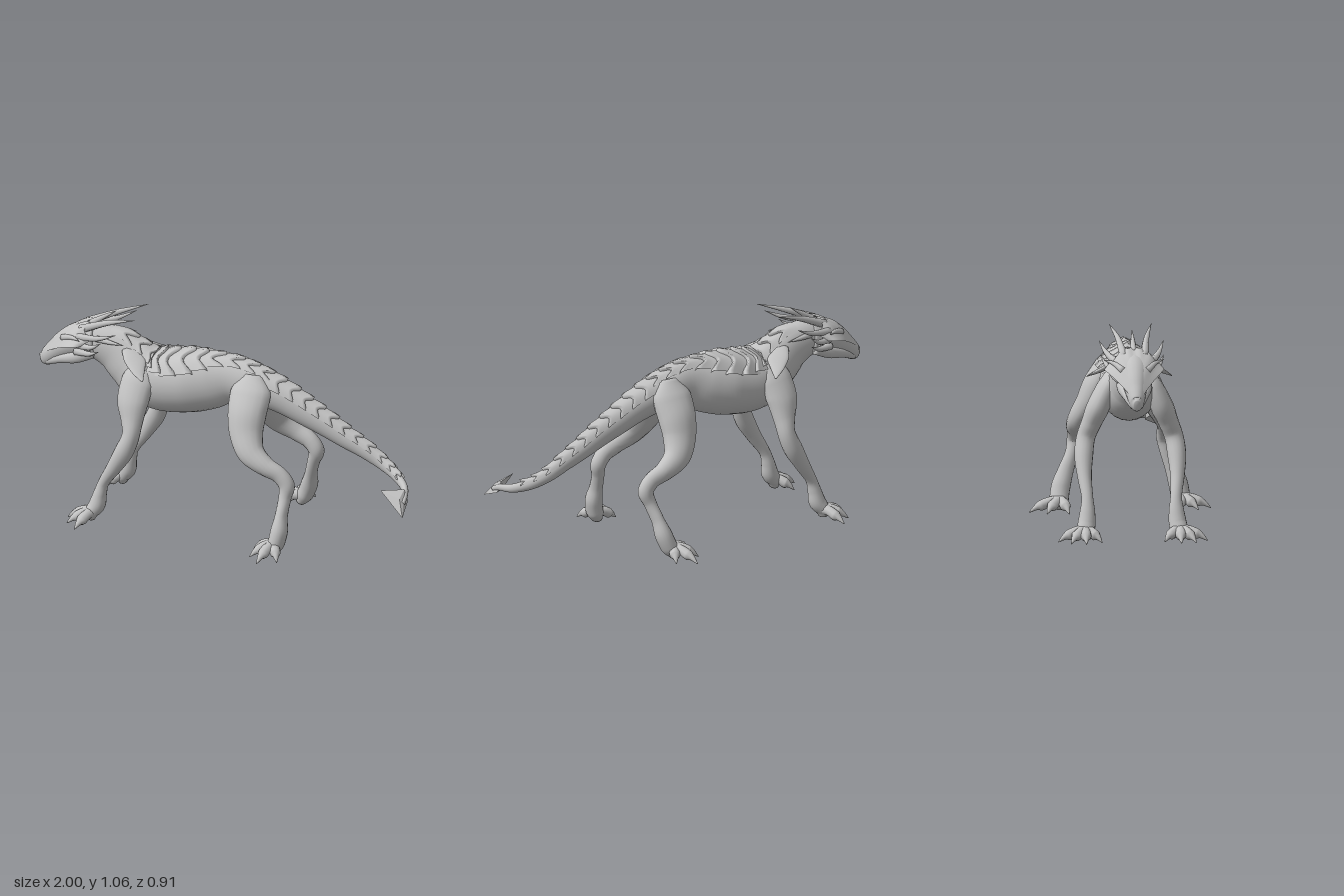
import * as THREE from 'three';
import { ConvexGeometry } from 'three/addons/geometries/ConvexGeometry.js';

const hide = new THREE.MeshStandardMaterial({ color: 0xc2c2c2, side: THREE.DoubleSide });
hide.name = 'pale grey hide';
const V = (x, y, z) => new THREE.Vector3(x, y, z);
const UP = V(0, 1, 0), ALONG = V(1, 0, 0);

// Smooth surface through sections [x, y, z, half height, half width]
function skin(sections, ref) {
  const path = new THREE.CatmullRomCurve3(sections.map(s => V(s[0], s[1], s[2])));
  const size = new THREE.CatmullRomCurve3(sections.map(s => V(s[3], s[4], 0)));
  return (t, angle, lift = 0, scale = 1) => {
    t = Math.min(1, Math.max(0, t));
    const c = path.getPoint(t), r = size.getPoint(t), T = path.getTangent(t);
    const U = ref.clone().addScaledVector(T, -ref.dot(T)).normalize();
    const S = T.clone().cross(U);
    return c.addScaledVector(U, Math.sin(angle) * (Math.max(r.x, 0.001) * scale + lift))
      .addScaledVector(S, Math.cos(angle) * (Math.max(r.y, 0.001) * scale + lift));
  };
}

// Grid of rows x cols points, optionally wrapped around
function grid(rows, cols, fn, wrap = false) {
  const pos = [], idx = [], n = wrap ? cols : cols - 1;
  for (let i = 0; i < rows; i++)
    for (let j = 0; j < cols; j++) pos.push(...fn(i, j).toArray());
  for (let i = 0; i < rows - 1; i++)
    for (let j = 0; j < n; j++) {
      const k = (j + 1) % cols;
      const a = i * cols + j, b = (i + 1) * cols + j, c = i * cols + k, d = (i + 1) * cols + k;
      idx.push(a, b, c, c, b, d);
    }
  const g = new THREE.BufferGeometry();
  g.setAttribute('position', new THREE.Float32BufferAttribute(pos, 3));
  g.setIndex(idx);
  g.computeVertexNormals();
  return g;
}

// Closed loft with capped ends
function loft(sections, ref = UP, steps = 6, sides = 16) {
  const f = skin(sections, ref), n = (sections.length - 1) * steps;
  return grid(n + 3, sides, (i, j) =>
    f((i - 1) / n, j / sides * Math.PI * 2, 0, i === 0 || i === n + 2 ? 0 : 1), true);
}

const BODY = [
  [-0.76, 0.875, 0, 0.085, 0.07], [-0.68, 0.87, 0, 0.1, 0.075], [-0.6, 0.842, 0, 0.118, 0.082],
  [-0.52, 0.785, 0, 0.135, 0.105], [-0.44, 0.73, 0, 0.15, 0.135], [-0.34, 0.715, 0, 0.16, 0.142],
  [-0.22, 0.73, 0, 0.162, 0.137], [-0.1, 0.752, 0, 0.148, 0.11], [0, 0.775, 0, 0.12, 0.083],
  [0.1, 0.768, 0, 0.104, 0.083], [0.2, 0.742, 0, 0.092, 0.077], [0.3, 0.702, 0, 0.082, 0.066],
  [0.4, 0.652, 0, 0.073, 0.058], [0.5, 0.602, 0, 0.064, 0.05], [0.6, 0.547, 0, 0.054, 0.043],
  [0.7, 0.497, 0, 0.045, 0.036], [0.8, 0.44, 0.008, 0.035, 0.028], [0.88, 0.4, 0.04, 0.028, 0.022],
  [0.945, 0.372, 0.1, 0.022, 0.018], [0.975, 0.36, 0.17, 0.016, 0.013], [0.983, 0.34, 0.22, 0.012, 0.01]];

const HEAD = [
  [-0.995, 0.735, 0, 0.026, 0.016], [-0.97, 0.742, 0, 0.042, 0.035], [-0.92, 0.785, 0, 0.055, 0.05],
  [-0.86, 0.83, 0, 0.074, 0.065], [-0.79, 0.865, 0, 0.09, 0.08], [-0.7, 0.875, 0, 0.095, 0.078]];

const FRONT_LEG = [
  [-0.42, 0.82, 0.075, 0.04, 0.03], [-0.447, 0.74, 0.115, 0.085, 0.05], [-0.458, 0.65, 0.155, 0.082, 0.057],
  [-0.45, 0.56, 0.192, 0.057, 0.05], [-0.447, 0.49, 0.218, 0.044, 0.047], [-0.475, 0.41, 0.23, 0.048, 0.047],
  [-0.53, 0.31, 0.23, 0.038, 0.036], [-0.59, 0.21, 0.22, 0.028, 0.029], [-0.608, 0.15, 0.22, 0.034, 0.037],
  [-0.622, 0.09, 0.225, 0.042, 0.044], [-0.645, 0.05, 0.232, 0.036, 0.045], [-0.65, 0.015, 0.235, 0.02, 0.03]];

const HIND_LEG = [
  [0.13, 0.83, 0.04, 0.05, 0.03], [0.132, 0.75, 0.08, 0.105, 0.058], [0.13, 0.66, 0.125, 0.1, 0.07],
  [0.14, 0.57, 0.165, 0.087, 0.064], [0.18, 0.49, 0.207, 0.07, 0.055], [0.26, 0.435, 0.225, 0.05, 0.045],
  [0.335, 0.395, 0.222, 0.043, 0.037], [0.372, 0.345, 0.222, 0.041, 0.037], [0.367, 0.28, 0.235, 0.032, 0.033],
  [0.36, 0.2, 0.265, 0.031, 0.039], [0.357, 0.12, 0.292, 0.043, 0.048], [0.345, 0.06, 0.302, 0.042, 0.048],
  [0.33, 0.018, 0.305, 0.025, 0.035]];

export function createModel() {
  const model = new THREE.Group();
  model.name = 'horned beast';
  const add = (name, geometry, parent = model) => {
    const m = new THREE.Mesh(geometry, hide);
    m.name = name;
    parent.add(m);
    return m;
  };
  const horn = (name, a, b, c, r) => add(name, loft([
    [...a, r, r], [...b, r * 0.65, r * 0.65], [...c, 0.001, 0.001]], UP, 5, 8));

  add('bodyNeckAndTail', loft(BODY, UP, 5, 24));
  add('head', loft(HEAD, UP, 6, 20));

  // Overlapping plates wrapped over neck, back and tail
  const surface = skin(BODY, UP), plates = new THREE.Group();
  plates.name = 'backPlates';
  model.add(plates);
  const count = 23, rows = 6, cols = 21;
  for (let p = 0; p < count; p++) {
    const t0 = 0.07 + p * 0.0342, len = 0.043;
    const torso = Math.exp(-(((t0 - 0.25) / 0.09) ** 2)), tail = t0 > 0.47 ? 1 : 0;
    const spread = 0.7 + 0.4 * torso + 0.4 * tail;
    const size = t0 < 0.6 ? 1 : 1 - (t0 - 0.6) * 1.6;
    add('plate', grid(rows + 1, cols, (i, j) => {
      const v = j / (cols - 1) * 2 - 1, u = Math.min(1, i / (rows - 1));
      const edge = 1 + 0.25 * Math.cos(v * Math.PI * 2) * (1 - 0.4 * tail);
      const rise = (0.01 + 0.012 * (1 - Math.abs(v)) ** 4 + 0.032 * torso * v * v) * size;
      const lift = i === rows ? -0.004 : 0.002 + rise * u ** 1.4;
      return surface(t0 + len * u * edge, Math.PI / 2 + v * spread, lift);
    }), plates);
  }

  // Broad shield over the skull with a toothed rear edge
  const top = new THREE.CatmullRomCurve3([V(-0.995, 0.768, 0.014), V(-0.95, 0.828, 0.045),
    V(-0.89, 0.888, 0.085), V(-0.83, 0.937, 0.125), V(-0.77, 0.97, 0.148), V(-0.72, 0.985, 0.13)]);
  add('skullShield', grid(16, 25, (i, j) => {
    const u = i / 15, v = j / 12 - 1, p = top.getPoint(u);
    const ridge = 0.012 * Math.exp(-(((Math.abs(v) - 0.45) / 0.15) ** 2)) * u;
    return V(p.x + 0.025 * Math.cos(v * Math.PI * 5) * u ** 4, p.y - 0.1 * v * v * u ** 0.7 + ridge, p.z * v);
  }));
  horn('crestSpike', [-0.74, 0.96, 0], [-0.67, 1.005, 0], [-0.6, 1.05, 0], 0.018);

  // Arrow-shaped tail tip
  add('tailSpade', new ConvexGeometry([V(0.97, 0.392, 0.165), V(0.965, 0.345, 0.17), V(0.865, 0.395, 0.222),
    V(1, 0.29, 0.28), V(0.99, 0.335, 0.17), V(0.965, 0.365, 0.225), V(0.955, 0.34, 0.225)]));

  const toes = (name, base, tips, side, parent) => tips.forEach(([tx, tz]) => {
    const [bx, bz] = base;
    const at = (k, y, r) => [bx + (tx - bx) * k, y, side * (bz + (tz - bz) * k), r, r * 1.05];
    add(name, loft([at(0, 0.055, 0.03), at(0.35, 0.052, 0.025), at(0.6, 0.038, 0.026),
      at(0.75, 0.031, 0.016), at(1, 0.006, 0.002)], UP, 4, 10), parent);
  });

  for (const side of [1, -1]) {
    const at = (x, y, z) => [x, y, z * side];
    const mirrored = s => s.map(([x, y, z, h, w]) => [x, y, z * side, h, w]);

    // Horns and spikes
    horn('longHorn', at(-0.77, 0.945, 0.05), at(-0.62, 1.01, 0.07), at(-0.47, 1.06, 0.105), 0.022);
    horn('sideHorn', at(-0.77, 0.92, 0.09), at(-0.65, 0.945, 0.13), at(-0.55, 0.99, 0.16), 0.02);
    horn('cheekSpike', at(-0.77, 0.875, 0.09), at(-0.69, 0.89, 0.13), at(-0.63, 0.93, 0.155), 0.02);
    horn('cheekSpike', at(-0.79, 0.83, 0.07), at(-0.71, 0.84, 0.1), at(-0.65, 0.87, 0.125), 0.02);
    horn('browSpike', at(-0.86, 0.89, 0.06), at(-0.8, 0.915, 0.1), at(-0.74, 0.925, 0.15), 0.018);
    horn('neckSpike', at(-0.68, 0.91, 0.06), at(-0.61, 0.91, 0.08), at(-0.53, 0.91, 0.095), 0.018);

    // Flat plate draped over the shoulder
    add('shoulderPlate', loft(mirrored([[-0.51, 0.875, 0.05, 0.015, 0.045], [-0.47, 0.85, 0.1, 0.014, 0.055],
      [-0.43, 0.815, 0.16, 0.01, 0.035], [-0.39, 0.785, 0.21, 0.002, 0.004]])));

    // Jaw and eye
    add('jaw', loft(mirrored([[-0.96, 0.728, 0.018, 0.018, 0.014], [-0.88, 0.765, 0.045, 0.022, 0.018],
      [-0.79, 0.795, 0.065, 0.03, 0.022], [-0.71, 0.83, 0.065, 0.03, 0.018]])));
    const eye = add('eye', new THREE.SphereGeometry(0.014, 12, 8));
    eye.position.set(-0.865, 0.855, 0.06 * side);

    const frontLeg = new THREE.Group();
    frontLeg.name = 'frontLeg';
    model.add(frontLeg);
    add('frontLimb', loft(mirrored(FRONT_LEG), ALONG), frontLeg);
    toes('frontToe', [-0.64, 0.235], [[-0.72, 0.155], [-0.77, 0.235], [-0.69, 0.37], [-0.75, 0.31]], side, frontLeg);

    // The far hind foot stands a little further forward
    const hindLeg = new THREE.Group();
    hindLeg.name = 'hindLeg';
    model.add(hindLeg);
    const shift = side < 0 ? 0.07 : 0;
    const limb = mirrored(HIND_LEG).map(([x, y, ...rest]) =>
      [x - shift * Math.max(0, 0.36 - y) / 0.33, y, ...rest]);
    add('hindLimb', loft(limb, ALONG), hindLeg);
    toes('hindToe', [0.33 - shift, 0.3], side > 0
      ? [[0.225, 0.3], [0.235, 0.385], [0.295, 0.45], [0.385, 0.405]]
      : [[0.15, 0.26], [0.155, 0.37], [0.21, 0.455], [0.3, 0.4]], side, hindLeg);
  }
  return model;
}
